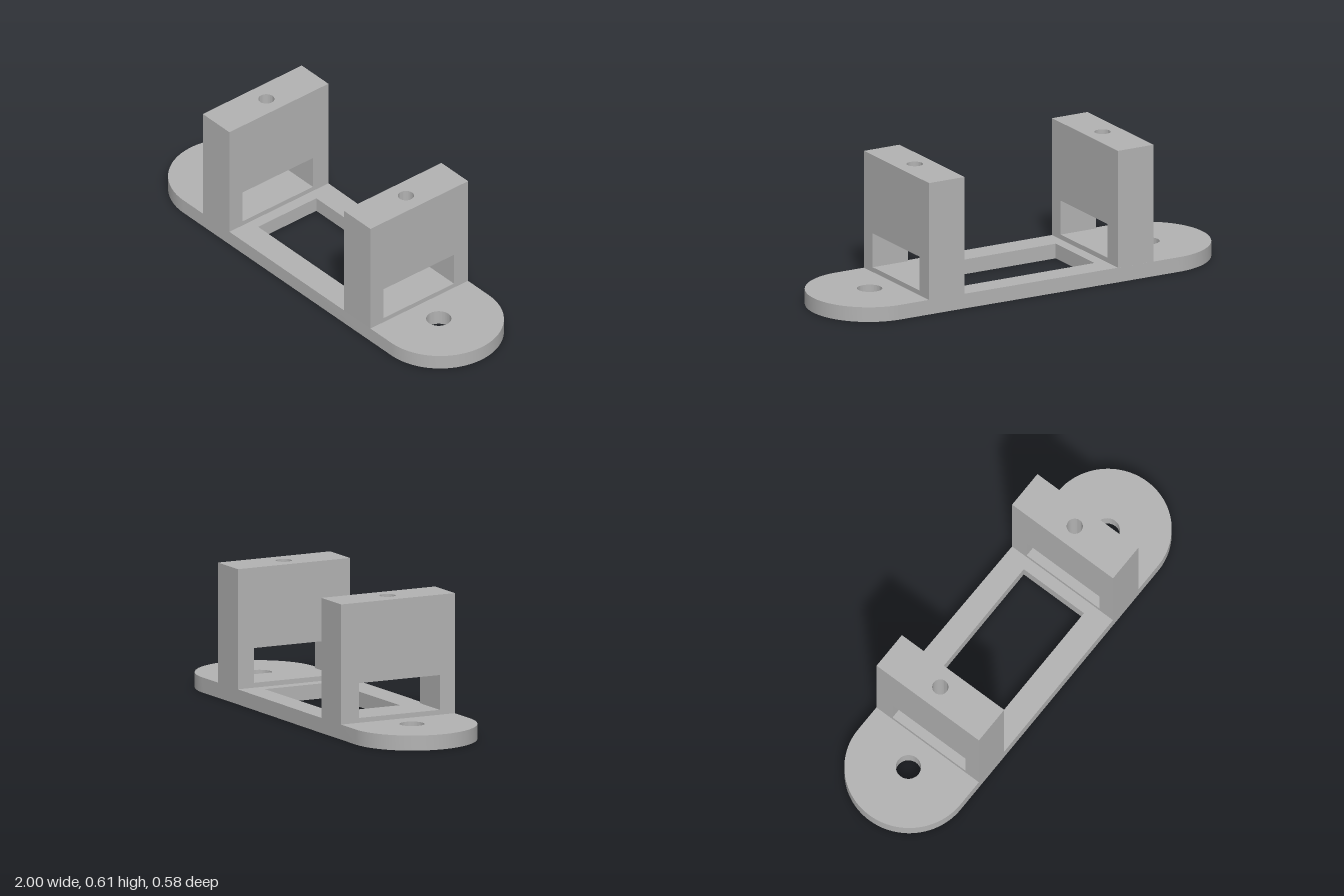
import * as THREE from 'three';
import { toCreasedNormals } from 'three/addons/utils/BufferGeometryUtils.js';

export function createModel() {
  const model = new THREE.Group();
  model.name = 'mountingBracket';
  const grey = new THREE.MeshStandardMaterial({ color: 0xb2b2b2 });
  grey.name = 'grey plastic';

  const FRONT = 0.288, PLATE_TOP = 0.068, POST_TOP = 0.61;
  const SILL = 0.09, LINTEL = 0.247, BORE_FLOOR = 0.36;

  // Outlines are drawn in plan, with shape y = -z
  const trace = (path, x0, x1, z0, z1) => path
    .moveTo(x0, -z1).lineTo(x1, -z1).lineTo(x1, -z0).lineTo(x0, -z0).closePath();
  const rect = (x0, x1, z0, z1) => {
    const s = new THREE.Shape();
    trace(s, x0, x1, z0, z1);
    return s;
  };
  const rectHole = (x0, x1, z0, z1) => {
    const p = new THREE.Path();
    trace(p, x0, x1, z0, z1);
    return p;
  };
  const roundHole = (x, z, r) => new THREE.Path().absarc(x, -z, r, 0, Math.PI * 2, true);

  // Raises a plan outline into a slab between two heights
  const slab = (name, shape, y0, y1, parent) => {
    let geo = new THREE.ExtrudeGeometry(shape, { depth: y1 - y0, bevelEnabled: false, curveSegments: 40 });
    geo.rotateX(-Math.PI / 2).translate(0, y0, 0);
    geo = toCreasedNormals(geo, Math.PI / 6);
    const mesh = new THREE.Mesh(geo, grey);
    mesh.name = name;
    parent.add(mesh);
  };

  // Base plate: rounded ends, back edge tapering slightly between the posts
  const rL = 0.288, rR = 0.283;
  const plate = new THREE.Shape();
  plate.moveTo(-1 + rL, -FRONT);
  plate.lineTo(1 - rR, -FRONT);
  plate.absarc(1 - rR, rR - FRONT, rR, -Math.PI / 2, Math.PI / 2, false);
  plate.lineTo(0.39, 0.279);
  plate.lineTo(-0.395, 0.287);
  plate.absarc(-1 + rL, 0, rL, Math.PI / 2, Math.PI * 1.5, false);
  plate.holes.push(
    rectHole(-0.343, 0.337, -0.172, 0.166),
    roundHole(-0.714, -0.003, 0.056),
    roundHole(0.71, 0.007, 0.056),
  );
  slab('basePlate', plate, 0, PLATE_TOP, model);

  // Upright posts, each with a window through it and a blind screw bore on top
  const posts = [
    { name: 'rightPost', x0: -0.579, x1: -0.396, back: -0.287, bore: -0.485, boreZ: -0.002 },
    { name: 'leftPost', x0: 0.39, x1: 0.573, back: -0.279, bore: 0.48, boreZ: 0.003 },
  ];
  for (const { name, x0, x1, back, bore, boreZ } of posts) {
    const post = new THREE.Group();
    post.name = name;
    model.add(post);
    slab('windowSill', rect(x0, x1, back, FRONT), PLATE_TOP, SILL, post);
    slab('frontJamb', rect(x0, x1, 0.212, FRONT), SILL, LINTEL, post);
    slab('backJamb', rect(x0, x1, back, -0.197), SILL, LINTEL, post);
    slab('lintel', rect(x0, x1, back, FRONT), LINTEL, BORE_FLOOR, post);
    const head = rect(x0, x1, back, FRONT);
    head.holes.push(roundHole(bore, boreZ, 0.036));
    slab('boredHead', head, BORE_FLOOR, POST_TOP, post);
  }

  return model;
}
